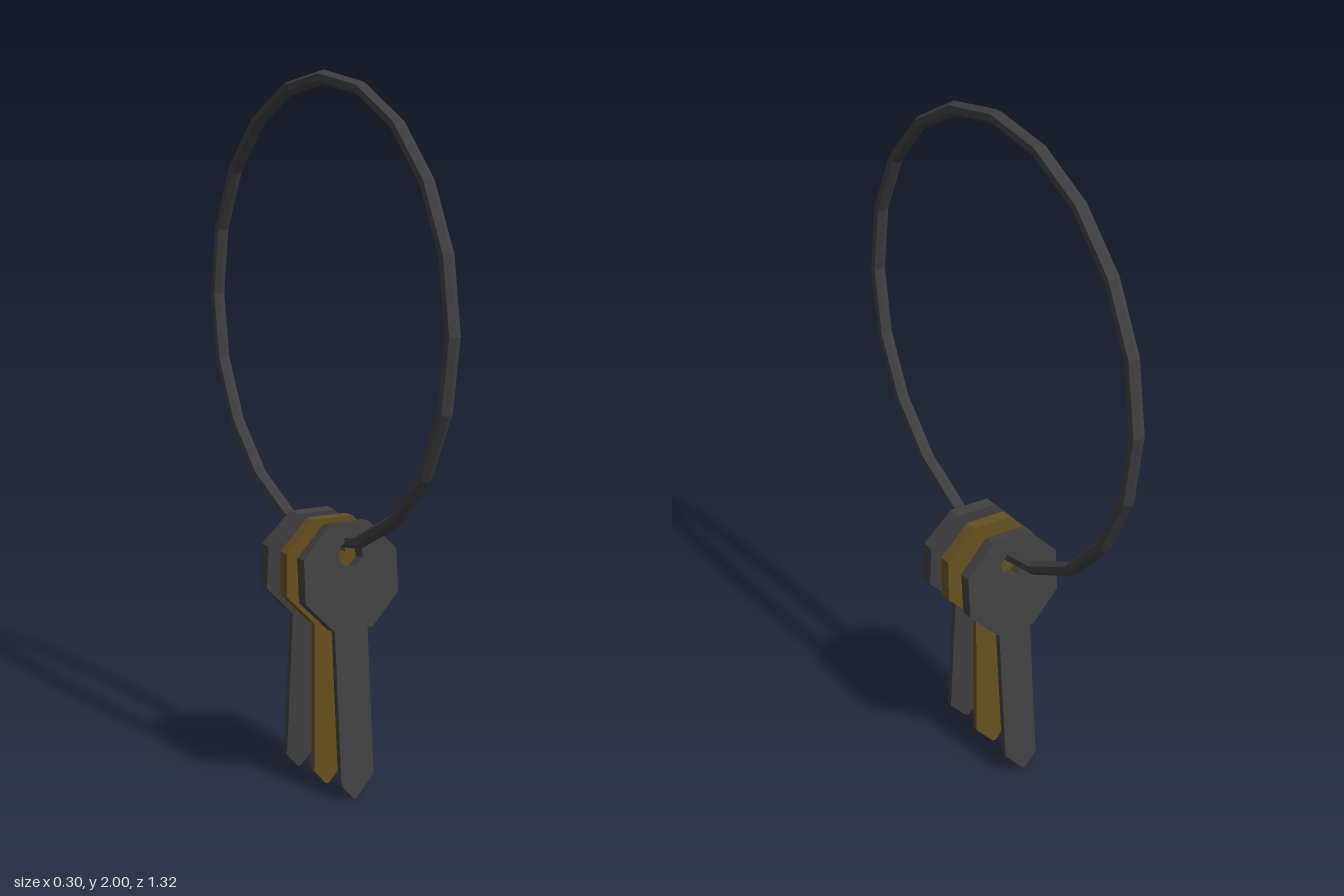
import * as THREE from 'three';

const HOLE_Y = 0.69; // keys hang and tilt about the hole

// Corner points of a regular octagon with flat top and sides
function octagon(cy, radius) {
  return Array.from({ length: 8 }, (_, i) => {
    const a = (i + 0.5) * Math.PI / 4;
    return new THREE.Vector2(radius * Math.cos(a), cy + radius * Math.sin(a));
  });
}

// Flat plate centred on z = 0, with its origin moved to the key hole
function plate(shape, depth) {
  const g = new THREE.ExtrudeGeometry(shape, { depth, bevelEnabled: false });
  return g.translate(0, -HOLE_Y, -depth / 2);
}

function makeKey(name, color, z, tilt) {
  const key = new THREE.Group();
  key.name = name;
  const material = new THREE.MeshStandardMaterial({ color, flatShading: true });

  // Octagonal head with a hole
  const headShape = new THREE.Shape(octagon(0.628, 0.16));
  headShape.holes.push(new THREE.Path(octagon(HOLE_Y, 0.04)));
  const head = new THREE.Mesh(plate(headShape, 0.038), material);
  head.name = 'keyHead';

  // Thin blade with an off-centre pointed tip
  const bladeShape = new THREE.Shape([
    [-0.055, 0.49], [-0.055, 0.045], [-0.018, 0.003], [-0.008, 0.003], [0.05, 0.065], [0.05, 0.49],
  ].map(([x, y]) => new THREE.Vector2(x, y)));
  const blade = new THREE.Mesh(plate(bladeShape, 0.018), material);
  blade.name = 'keyBlade';

  key.add(head, blade);
  key.position.set(0, HOLE_Y, z);
  key.rotation.x = tilt;
  return key;
}

export function createModel() {
  const model = new THREE.Group();
  model.name = 'keyRingWithKeys';

  // Large ring standing in the side plane
  const ring = new THREE.Mesh(
    new THREE.TorusGeometry(0.638, 0.02, 6, 20),
    new THREE.MeshStandardMaterial({ color: 0x404042, flatShading: true }),
  );
  ring.name = 'ring';
  ring.rotation.y = Math.PI / 2;
  ring.position.y = 1.342;
  model.add(ring);

  // Three keys fanned out along the ring
  const tilt = THREE.MathUtils.degToRad(4.9);
  model.add(
    makeKey('frontKey', 0x404040, 0.131, -tilt),
    makeKey('middleKey', 0x66501f, 0.037, 0),
    makeKey('backKey', 0x404040, -0.069, tilt),
  );
  return model;
}
